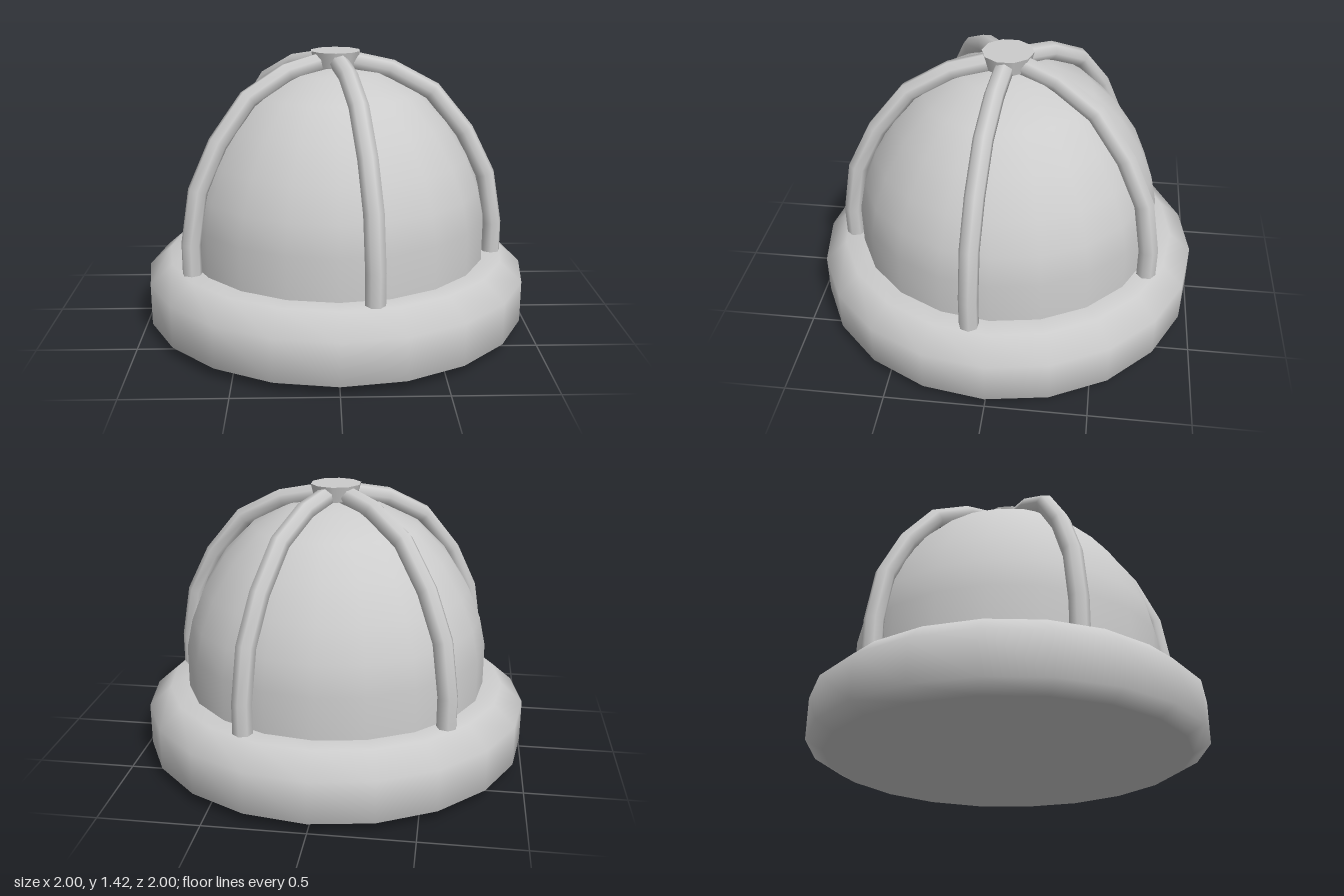
import * as THREE from 'three';

const grey = new THREE.MeshStandardMaterial({ color: 0xcccccc });
grey.name = 'grey';

function add(parent, name, geometry) {
  const mesh = new THREE.Mesh(geometry, grey);
  mesh.name = name;
  parent.add(mesh);
  return mesh;
}

// Turned part from [radius, height] pairs
function turned(profile, sides) {
  return new THREE.LatheGeometry(profile.map(([r, y]) => new THREE.Vector2(r, y)), sides);
}

// Centre line of a cage bar, sampled exactly at its corner points
function barCurve() {
  const curve = new THREE.CatmullRomCurve3([
    [0.828, 0.3], [0.828, 0.52], [0.782, 0.785], [0.668, 1.01],
    [0.498, 1.215], [0.285, 1.325], [0.06, 1.37],
  ].map(([r, y]) => new THREE.Vector3(r, y, 0)));
  curve.getPointAt = curve.getPoint;
  curve.getTangentAt = curve.getTangent;
  return curve;
}

export function createModel() {
  const group = new THREE.Group();

  // Base: softly rounded disc with a shelf around the dome
  add(group, 'base', turned(
    [[0, 0], [0.91, 0], [1, 0.05], [1, 0.265], [0.885, 0.365], [0.74, 0.365]], 20));

  // Dome: straight wall running into a rounded top
  add(group, 'dome', turned(
    [[0.787, 0.33], [0.787, 0.58], [0.755, 0.73], [0.69, 0.89], [0.58, 1.06],
      [0.43, 1.21], [0.23, 1.31], [0, 1.34]], 20));

  // Cage: five bars meeting at a hub on top
  const barGeometry = new THREE.TubeGeometry(barCurve(), 6, 0.05, 7, false);
  for (let i = 0; i < 5; i++) {
    const bar = add(group, 'cageBar' + (i + 1), barGeometry);
    bar.rotation.y = -THREE.MathUtils.degToRad(6.5 + 72 * i);
  }
  const hub = add(group, 'cageHub', new THREE.CylinderGeometry(0.13, 0.11, 0.08, 10));
  hub.position.y = 1.378;

  return group;
}
